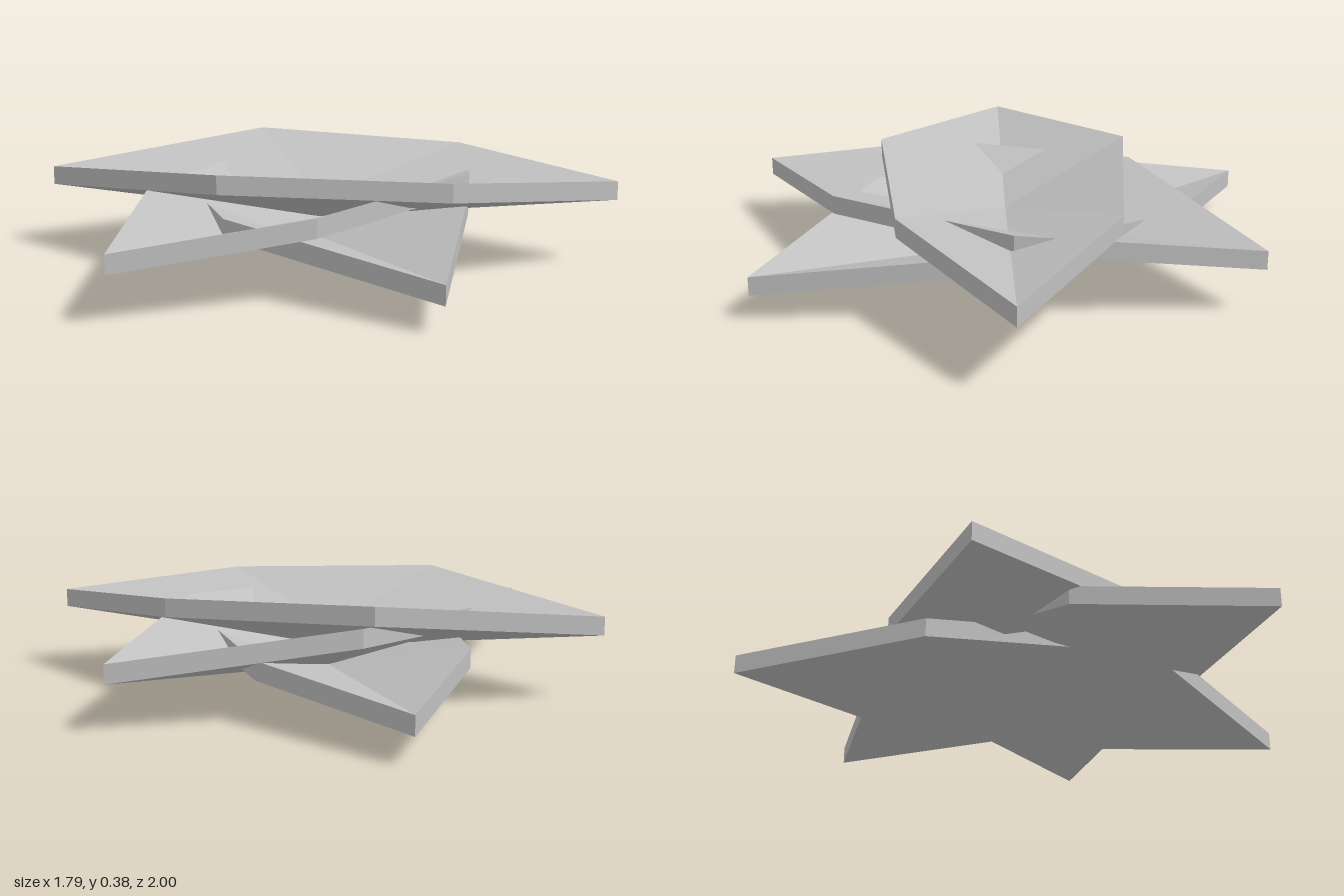
import * as THREE from 'three';

const THICKNESS = 0.065;
const PIVOT_Z = 0.033;

// Half outline of one folded blade, tip to tip: [x, y of underside, z] around the pivot
const HALF = [
  [0.447, 0.17, 0.277],
  [0.363, 0.145, -0.48],
];
const OUTLINE = [
  [0, 0.09, 0.967],
  ...HALF,
  [0, 0.09, -1.033],
  ...HALF.map(([x, y, z]) => [-x, y, z]).reverse(),
];

// Faceted six-sided plate: a fan above, a fan below and a thin rim
function bladeGeometry() {
  const up = ([x, y, z]) => [x, y + THICKNESS, z];
  const centre = [0, 0, 0];
  const positions = [];
  const tri = (...corners) => corners.forEach((c) => positions.push(...c));
  OUTLINE.forEach((a, i) => {
    const b = OUTLINE[(i + 1) % OUTLINE.length];
    tri(up(centre), up(a), up(b));
    tri(centre, b, a);
    tri(a, b, up(b));
    tri(a, up(b), up(a));
  });
  const geometry = new THREE.BufferGeometry();
  geometry.setAttribute('position', new THREE.Float32BufferAttribute(positions, 3));
  geometry.computeVertexNormals();
  return geometry;
}

export function createModel() {
  const model = new THREE.Group();
  model.name = 'crossedBlades';
  const grey = new THREE.MeshStandardMaterial({ color: 0xc0c0c0, flatShading: true });
  grey.name = 'grey';

  // Three equal blades, stacked and turned a third of a circle each
  const geometry = bladeGeometry();
  const blades = [
    ['lowerBlade', 0, 0],
    ['middleBlade', 120, 0.07],
    ['upperBlade', -119.5, 0.14],
  ];
  for (const [name, degrees, height] of blades) {
    const blade = new THREE.Mesh(geometry, grey);
    blade.name = name;
    blade.rotation.y = THREE.MathUtils.degToRad(degrees);
    blade.position.set(0, height, PIVOT_Z);
    model.add(blade);
  }
  return model;
}
